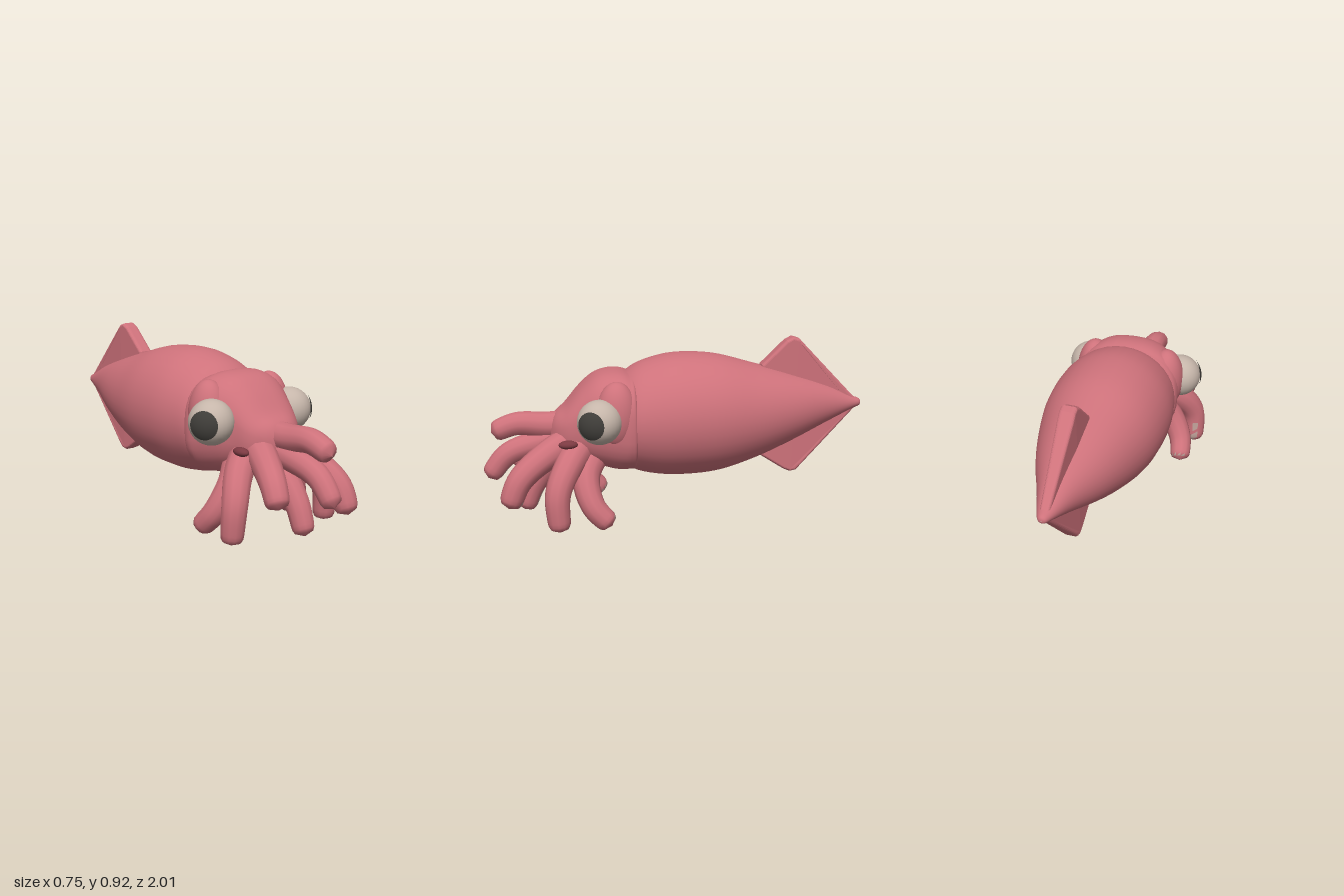
import * as THREE from 'three';
import { mergeVertices } from 'three/addons/utils/BufferGeometryUtils.js';

const paint = (name, color) => {
  const m = new THREE.MeshStandardMaterial({ color });
  m.name = name;
  return m;
};

// Smooth body lofted along z through [z, centreY, halfWidth, halfHeight]; power > 2 squares the section
function loft(sections, power = 2, steps = 40, sides = 36) {
  const axis = new THREE.SplineCurve(sections.map(s => new THREE.Vector2(s[0], s[1])));
  const size = new THREE.SplineCurve(sections.map(s => new THREE.Vector2(s[2], s[3])));
  const pos = [], index = [];
  const bend = v => Math.sign(v) * Math.abs(v) ** (2 / power);
  for (let i = 0; i <= steps; i++) {
    const c = axis.getPoint(i / steps), r = size.getPoint(i / steps);
    for (let j = 0; j < sides; j++) {
      const a = j / sides * Math.PI * 2;
      pos.push(r.x * bend(Math.cos(a)), c.y + r.y * bend(Math.sin(a)), c.x);
      if (i < steps) {
        const p = i * sides + j, q = i * sides + (j + 1) % sides;
        index.push(p, q, p + sides, q, q + sides, p + sides);
      }
    }
  }
  const g = new THREE.BufferGeometry();
  g.setAttribute('position', new THREE.Float32BufferAttribute(pos, 3));
  g.setIndex(index);
  g.computeVertexNormals();
  return g;
}

// Tapered, round-tipped arm; group 1 holds the pale patch under the tip
function armGeometry(points, radius, patch) {
  const steps = 26, sides = 12;
  const curve = new THREE.CatmullRomCurve3(points.map(p => new THREE.Vector3(...p)));
  let g = new THREE.TubeGeometry(curve, steps, radius, sides);
  const pos = g.attributes.position, v = new THREE.Vector3();
  for (let i = 0; i <= steps; i++) {
    const t = i / steps, c = curve.getPointAt(t);
    const tip = t > 0.88 ? Math.sqrt(Math.max(0.0004, 1 - ((t - 0.88) / 0.12) ** 3)) : 1;
    const k = (1.18 - 0.36 * t) * tip;
    for (let j = 0; j <= sides; j++) {
      const n = i * (sides + 1) + j;
      v.fromBufferAttribute(pos, n).sub(c).multiplyScalar(k).add(c);
      pos.setXYZ(n, v.x, v.y, v.z);
    }
  }
  g.deleteAttribute('uv');
  g.deleteAttribute('normal');
  g = mergeVertices(g, 1e-5);
  g.computeVertexNormals();
  const skin = [], pale = [], idx = g.index.array, under = new THREE.Vector3(0, -0.6, -0.8);
  for (let f = 0; f < idx.length; f += 3) {
    const t = f / idx.length;
    v.fromBufferAttribute(g.attributes.normal, idx[f]);
    const isPale = patch && t > 0.72 && t < 0.95 && v.dot(under) > 0.78;
    (isPale ? pale : skin).push(idx[f], idx[f + 1], idx[f + 2]);
  }
  g.setIndex([...skin, ...pale]);
  g.addGroup(0, skin.length, 0);
  g.addGroup(skin.length, pale.length, 1);
  return g;
}

export function createModel() {
  const model = new THREE.Group();
  const skin = paint('pink skin', 0xce727b);
  const white = paint('eye white', 0xc6b6aa);
  const dark = paint('pupil dark', 0x403e3a);
  const maroon = paint('dark maroon', 0x7c3a42);
  const pale = paint('pale suckers', 0xc4a49c);
  const add = (name, geometry, material, parent = model) => {
    const m = new THREE.Mesh(geometry, material);
    m.name = name;
    parent.add(m);
    return m;
  };

  // Torpedo mantle
  add('mantle', loft([
    [-1, 0.55, 0.002, 0.002], [-0.99, 0.55, 0.022, 0.02], [-0.94, 0.55, 0.045, 0.04],
    [-0.8, 0.55, 0.1, 0.105], [-0.6, 0.537, 0.187, 0.185], [-0.4, 0.525, 0.254, 0.255],
    [-0.2, 0.523, 0.302, 0.31], [0, 0.522, 0.314, 0.322], [0.15, 0.515, 0.297, 0.3],
    [0.25, 0.508, 0.268, 0.26], [0.3, 0.5, 0.2, 0.2], [0.31, 0.5, 0.002, 0.002],
  ], 2, 60), skin);

  // Upper and lower tail fins form one upright diamond
  const outline = new THREE.Shape([
    [-0.42, 0.55], [-0.46, 0.765], [-0.585, 0.885], [-0.615, 0.9], [-0.64, 0.892], [-0.67, 0.86],
    [-0.95, 0.57], [-0.95, 0.53], [-0.67, 0.235], [-0.64, 0.203], [-0.615, 0.198], [-0.585, 0.21],
    [-0.46, 0.29],
  ].map(p => new THREE.Vector2(...p)));
  const fin = new THREE.ExtrudeGeometry(outline, {
    depth: 0.04, bevelThickness: 0.02, bevelSize: 0.014, bevelSegments: 4,
  });
  fin.translate(0, 0, -0.02).rotateY(-Math.PI / 2);
  // Fins thin out slightly toward the tail tip
  const fp = fin.attributes.position;
  for (let i = 0; i < fp.count; i++) {
    const k = THREE.MathUtils.clamp((fp.getZ(i) + 1.25) / 0.5, 0.55, 1);
    fp.setX(i, fp.getX(i) * k);
  }
  fin.computeVertexNormals();
  add('tailFins', fin, skin);

  // Squarish head sloping down to the arm crown
  add('head', loft([
    [0.21, 0.5, 0.002, 0.002], [0.225, 0.5, 0.24, 0.22], [0.26, 0.505, 0.283, 0.25],
    [0.33, 0.512, 0.268, 0.257], [0.42, 0.515, 0.238, 0.235], [0.5, 0.5, 0.2, 0.188],
    [0.58, 0.47, 0.165, 0.125], [0.64, 0.455, 0.1, 0.085], [0.68, 0.45, 0.002, 0.002],
  ], 2.6), skin);

  // Web joining the arm bases under the head
  const web = add('armWeb', new THREE.SphereGeometry(1, 28, 18), skin);
  web.position.set(0, 0.385, 0.53);
  web.scale.set(0.15, 0.1, 0.16);

  // Eyes, sockets and the small dark folds below them
  for (const side of [1, -1]) {
    const name = side > 0 ? 'left' : 'right';
    const ball = (part, r, mat, p, s = [1, 1, 1]) => {
      const m = add(name + part, new THREE.SphereGeometry(r, 28, 20), mat);
      m.position.set(side * p[0], p[1], p[2]);
      m.scale.set(...s);
    };
    ball('Socket', 1, skin, [0.2, 0.57, 0.33], [0.096, 0.17, 0.105]);
    ball('Eye', 0.112, white, [0.257, 0.552, 0.42]);
    const pupil = add(name + 'Pupil',
      new THREE.SphereGeometry(0.117, 24, 10, 0, Math.PI * 2, 0, 0.64), dark);
    pupil.position.set(side * 0.259, 0.552, 0.42);
    pupil.quaternion.setFromUnitVectors(new THREE.Vector3(0, 1, 0),
      new THREE.Vector3(side * 0.87, 0.02, 0.49).normalize());
    ball('Fold', 1, maroon, [0.205, 0.428, 0.575], [0.028, 0.022, 0.048]);
  }

  // Arms: [name, radius, path]
  const arms = [
    ['topArm', 0.066, [[0, 0.485, 0.5], [0, 0.485, 0.68], [0, 0.495, 0.83], [0, 0.45, 0.96]]],
    ['middleArm', 0.064, [[0, 0.42, 0.52], [0, 0.39, 0.72], [0, 0.335, 0.88], [0, 0.21, 0.985]]],
    ['lowerArm', 0.066, [[0, 0.37, 0.48], [0, 0.31, 0.63], [0, 0.18, 0.745], [0, 0.03, 0.805]]],
    ['rightFrontArm', 0.07, [[-0.06, 0.43, 0.52], [-0.13, 0.38, 0.66], [-0.19, 0.31, 0.78], [-0.215, 0.21, 0.845]]],
    ['leftFrontArm', 0.07, [[0.06, 0.43, 0.52], [0.14, 0.36, 0.68], [0.2, 0.25, 0.82], [0.215, 0.11, 0.88]]],
  ];
  const pairs = [
    ['OuterArm', 0.067, [[0.1, 0.4, 0.5], [0.22, 0.325, 0.575], [0.295, 0.2, 0.635], [0.31, 0.006, 0.63]]],
    ['RearArm', 0.066, [[0.1, 0.35, 0.44], [0.19, 0.25, 0.49], [0.265, 0.12, 0.46], [0.29, 0.02, 0.37]]],
  ];
  for (const [name, r, path] of pairs) {
    arms.push(['left' + name, r, path]);
    arms.push(['right' + name, r, path.map(([x, y, z]) => [-x, y, z])]);
  }
  const armGroup = new THREE.Group();
  armGroup.name = 'arms';
  model.add(armGroup);
  for (const [name, r, path] of arms) {
    add(name, armGeometry(path, r, name !== 'topArm'), [skin, pale], armGroup);
  }
  return model;
}
